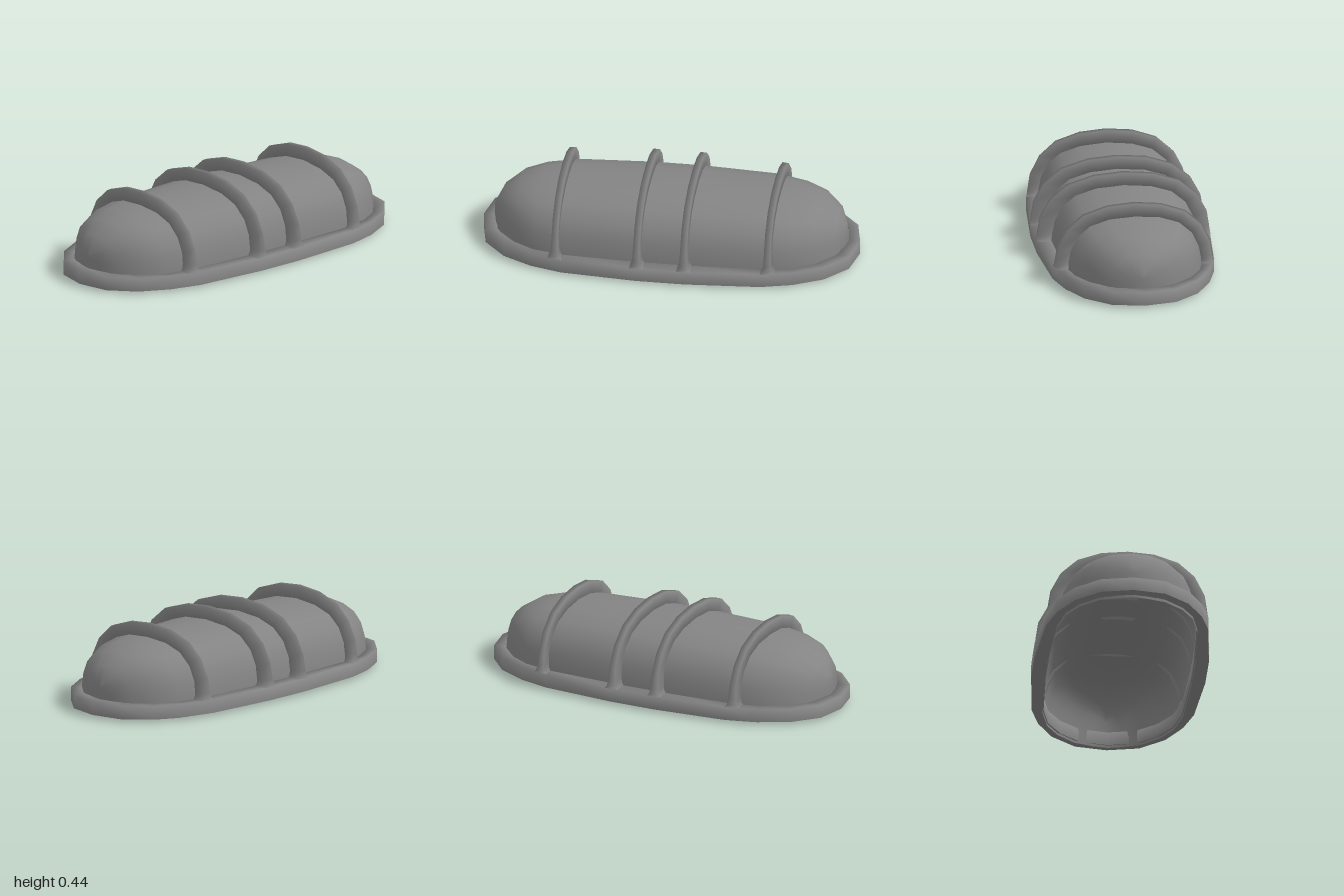
import * as THREE from 'three';
import { mergeVertices } from 'three/addons/utils/BufferGeometryUtils.js';

// Smooth skin over rows of points; either direction may wrap round
function loft(rows, wrapRows, wrapCols) {
  const n = rows.length, m = rows[0].length, index = [];
  for (let i = 0; i < (wrapRows ? n : n - 1); i++) {
    for (let j = 0; j < (wrapCols ? m : m - 1); j++) {
      const k = (i + 1) % n, l = (j + 1) % m;
      const a = i * m + j, b = k * m + j, c = k * m + l, d = i * m + l;
      index.push(a, b, d, b, c, d);
    }
  }
  let geo = new THREE.BufferGeometry();
  geo.setAttribute('position', new THREE.Float32BufferAttribute(rows.flat(2), 3));
  geo.setIndex(index);
  geo = mergeVertices(geo);
  geo.computeVertexNormals();
  return geo;
}

// Half profile ending on the centre line -> full symmetric profile
const mirrorArc = (half) => [...half, ...half.slice(0, -1).reverse().map(([z, y]) => [-z, y])];

// Quarter plan starting on the x axis -> closed loop
function fullLoop(q) {
  const half = [...q, ...q.slice().reverse().map(([x, z]) => [-x, z])];
  return [...half, ...half.slice(1, -1).reverse().map(([x, z]) => [x, -z])];
}

export function createModel() {
  const group = new THREE.Group();
  const color = 0x848484;
  const material = new THREE.MeshStandardMaterial({ color });
  const shellMaterial = new THREE.MeshStandardMaterial({ color, side: THREE.DoubleSide });

  function add(name, geo, mat = material) {
    const mesh = new THREE.Mesh(geo, mat);
    mesh.name = name;
    group.add(mesh);
    return mesh;
  }

  // Domed cover, open underneath: one arch-shaped section scaled along x
  const section = mirrorArc([[1, 0], [0.995, 0.24], [0.95, 0.5], [0.85, 0.71], [0.665, 0.87], [0.37, 0.965], [0, 1]]);
  const stations = [ // x, half width, height
    [0.94, 0, 0.16], [0.925, 0.075, 0.195], [0.89, 0.175, 0.26], [0.8, 0.272, 0.32],
    [0.69, 0.335, 0.346], [0.53, 0.37, 0.366], [0.13, 0.387, 0.377],
  ];
  const spine = [...stations.map(([x, w, h]) => [-x, w, h]), ...stations.slice().reverse()];
  add('domeCover', loft(spine.map(([x, w, h]) => section.map(([z, y]) => [x, y * h, z * w]))), shellMaterial);

  // Base rim: softly shaded wall and top, with a flat underside
  const outer = fullLoop([[1, 0], [0.965, 0.17], [0.85, 0.3], [0.695, 0.382], [0.53, 0.428], [0.13, 0.459]]);
  const inner = fullLoop([[0.935, 0], [0.905, 0.145], [0.81, 0.255], [0.685, 0.33], [0.53, 0.365], [0.13, 0.382]]);
  const rimTop = 0.087, rimBottom = 0.014;
  add('baseRim', loft(outer.map(([x, z], i) => {
    const [u, v] = inner[i];
    return [[u, rimBottom, v], [u, rimTop, v], [x, rimTop, z], [x, rimBottom, z]];
  }), true, false));
  add('rimUnderside', loft(outer.map(([x, z], i) => {
    const [u, v] = inner[i];
    return [[x, rimBottom, z], [u, rimBottom, v]];
  }), true, false));

  // Guard bars: arched strips with flared feet, sitting on the dome and rim
  const barOuter = mirrorArc([[0.459, 0.086], [0.457, 0.1], [0.454, 0.125], [0.442, 0.208], [0.39, 0.305], [0.295, 0.385], [0.155, 0.43], [0, 0.443]]);
  const barInner = mirrorArc([[0.383, 0.086], [0.383, 0.1], [0.38, 0.125], [0.364, 0.19], [0.325, 0.27], [0.255, 0.33], [0.144, 0.365], [0, 0.375]]);
  const halfWidths = [0.038, 0.026, 0.021, 0.017];

  // Scales a bar profile; taper narrows it towards +x so it follows the rim
  function guardBar({ outerScale, innerScale, taper }) {
    const last = barOuter.length - 1;
    const point = (x, [z, y], [sz, sy]) => [x, y > 0.13 ? y * sy : y, z * (sz - taper * x)];
    return loft(barOuter.map((o, i) => {
      const w = halfWidths[Math.min(i, last - i, 3)];
      const n = barInner[i];
      return [point(w, o, outerScale), point(-w, o, outerScale), point(-w, n, innerScale), point(w, n, innerScale)];
    }), false, true);
  }
  for (const side of [1, -1]) {
    const label = side > 0 ? 'Left' : 'Right';
    add('innerGuardBar' + label, guardBar({ outerScale: [1, 1], innerScale: [1, 1], taper: 0 }))
      .position.x = 0.125 * side;
    add('outerGuardBar' + label, guardBar({ outerScale: [0.911, 0.972], innerScale: [0.934, 0.962], taper: 0.58 * side }))
      .position.x = 0.565 * side;
  }
  return group;
}
